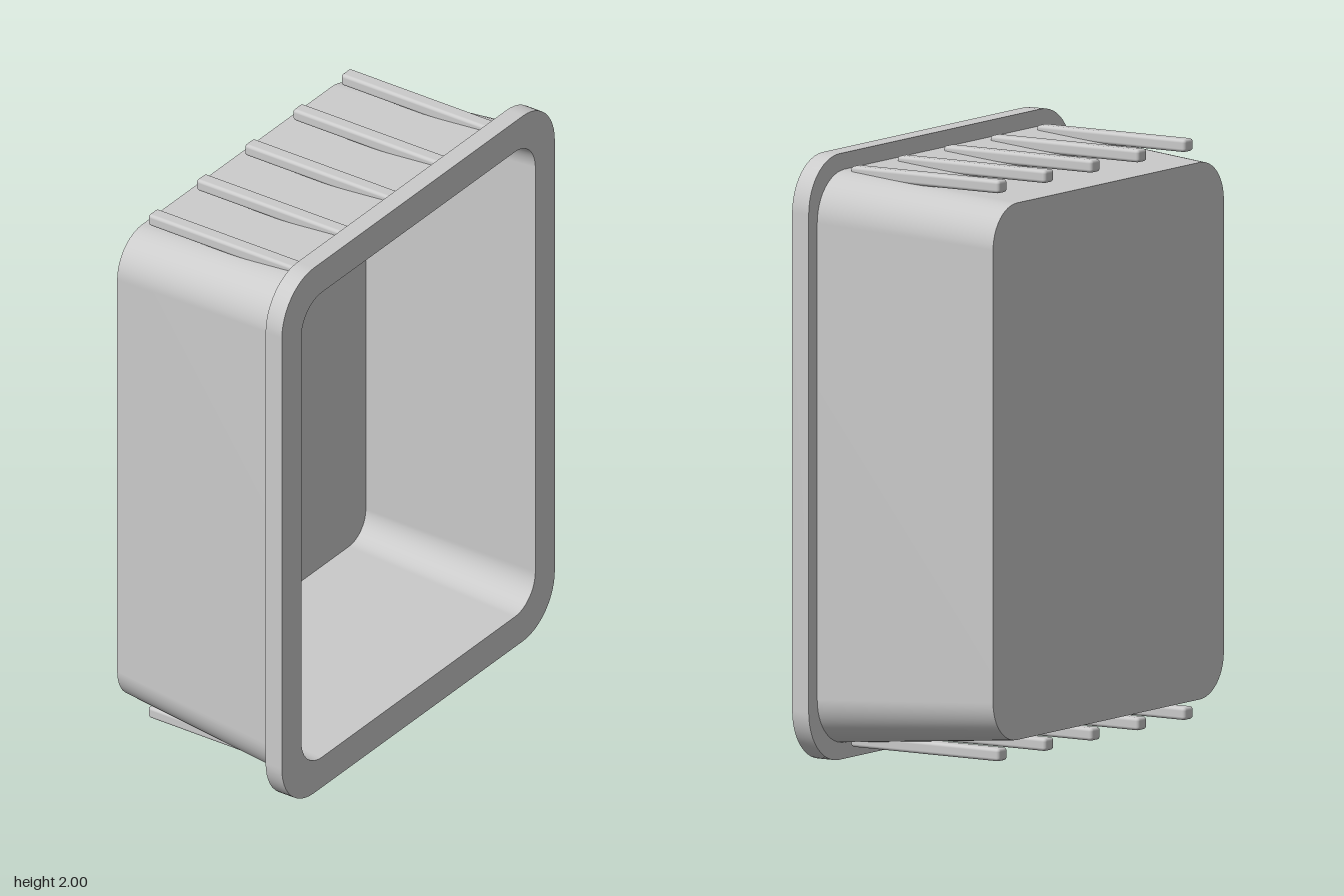
import * as THREE from 'three';
import { RoundedBoxGeometry } from 'three/addons/geometries/RoundedBoxGeometry.js';

const CORNER_STEPS = 12;

// Rounded rectangle outline, counter-clockwise, from half width, half height and corner radius
function outline({ w, h, r }) {
  const points = [];
  const corners = [[1, 1], [-1, 1], [-1, -1], [1, -1]];
  corners.forEach(([sx, sy], c) => {
    for (let i = 0; i <= CORNER_STEPS; i++) {
      const a = (c + i / CORNER_STEPS) * Math.PI / 2;
      points.push(new THREE.Vector2(sx * (w - r) + r * Math.cos(a), sy * (h - r) + r * Math.sin(a)));
    }
  });
  return points;
}

// Surface joining two outlines
function band(a, b) {
  const positions = [], indices = [];
  for (const section of [a, b]) {
    for (const p of outline(section)) positions.push(p.x, p.y, section.z);
  }
  const n = positions.length / 6;
  for (let i = 0; i < n; i++) {
    const j = (i + 1) % n;
    indices.push(i, n + i, j, j, n + i, n + j);
  }
  const geometry = new THREE.BufferGeometry();
  geometry.setAttribute('position', new THREE.Float32BufferAttribute(positions, 3));
  geometry.setIndex(indices);
  geometry.computeVertexNormals();
  return geometry;
}

function panel(section) {
  return new THREE.ShapeGeometry(new THREE.Shape(outline(section)));
}

export function createModel() {
  const model = new THREE.Group();
  model.name = 'wallBox';
  const material = new THREE.MeshStandardMaterial({ color: 0xcccccc });

  const add = (name, geometry, parent) => {
    const mesh = new THREE.Mesh(geometry, material);
    mesh.name = name;
    parent.add(mesh);
    return mesh;
  };
  const addGroup = (name) => {
    const group = new THREE.Group();
    group.name = name;
    group.position.y = 1;
    model.add(group);
    return group;
  };

  // Cross-sections from the cavity floor, over the rim, to the back
  const floor = { w: 0.625, h: 0.837, r: 0.095, z: -0.29 };
  const opening = { w: 0.66, h: 0.885, r: 0.115, z: 0.363 };
  const rimFront = { w: 0.77, h: 1, r: 0.18, z: 0.363 };
  const rimBack = { ...rimFront, z: 0.298 };
  const shellFront = { w: 0.72, h: 0.945, r: 0.16, z: 0.298 };
  const shellBack = { w: 0.675, h: 0.886, r: 0.14, z: -0.363 };

  // Tapered tub
  const tub = addGroup('tub');
  add('outerWall', band(shellFront, shellBack), tub);
  add('innerWall', band(floor, opening), tub);
  add('cavityFloor', panel(floor), tub).position.z = floor.z;
  const back = add('backPanel', panel(shellBack), tub);
  back.rotation.y = Math.PI;
  back.position.z = shellBack.z;

  // Flange around the opening
  const rim = addGroup('rim');
  add('rimFace', band(opening, rimFront), rim);
  add('rimEdge', band(rimFront, rimBack), rim);
  add('rimUnderside', band(rimBack, shellFront), rim);

  // Five gripping ribs on the top and five on the bottom
  const ribs = addGroup('ribs');
  const ribGeometry = new RoundedBoxGeometry(0.053, 0.042, 0.585, 3, 0.011);
  for (const side of [1, -1]) {
    for (let i = -2; i <= 2; i++) {
      add(side > 0 ? 'topRib' : 'bottomRib', ribGeometry, ribs).position.set(i * 0.272, side * 0.937, -0.023);
    }
  }

  return model;
}
